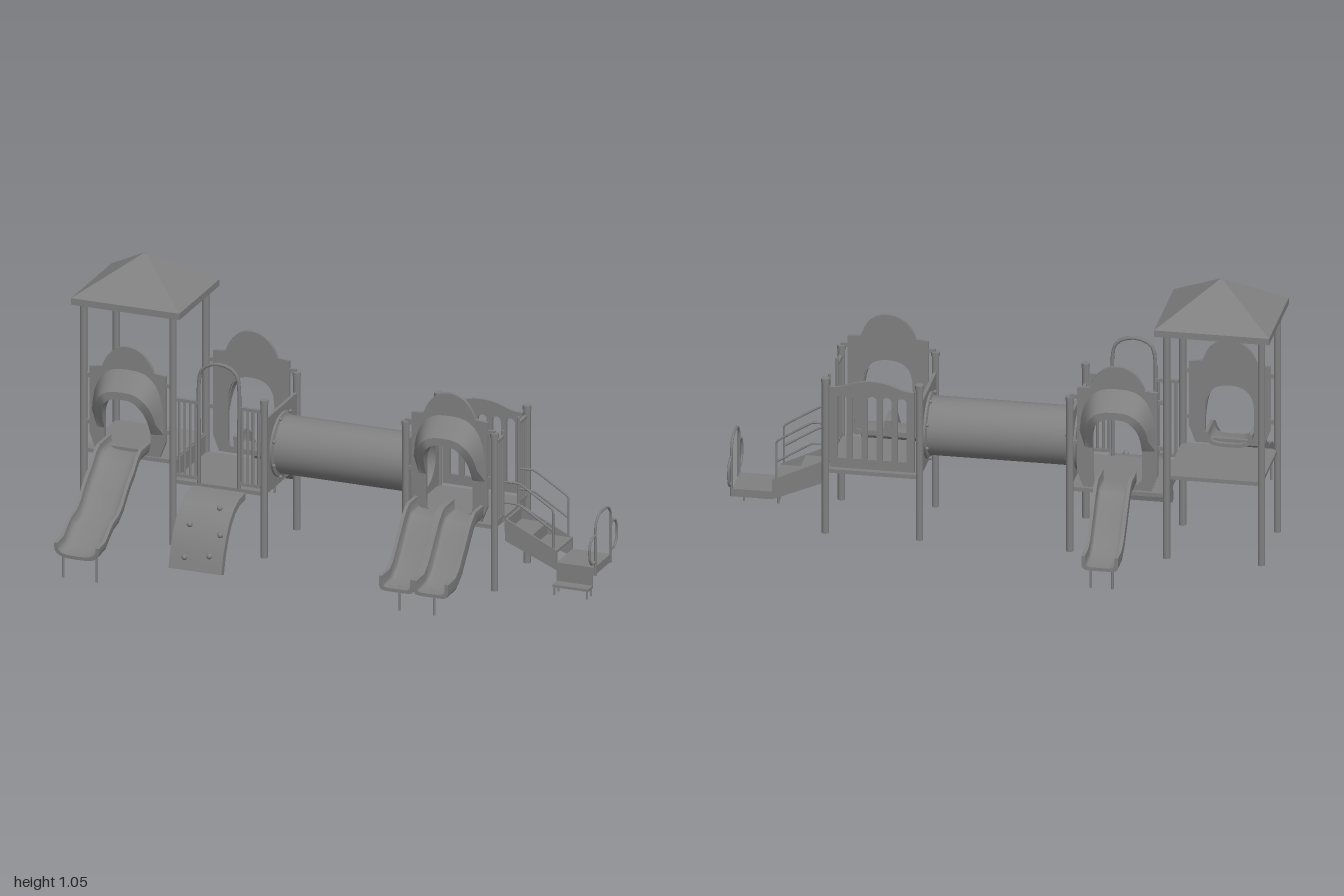
import * as THREE from 'three';
import { toCreasedNormals } from 'three/addons/utils/BufferGeometryUtils.js';

const grey = new THREE.MeshStandardMaterial({ color: 0x808080, side: THREE.DoubleSide });
grey.name = 'playground grey';
const V3 = (x, y, z) => new THREE.Vector3(x, y, z);
const ZF = 0.082, ZB = -0.229, ZM = -0.0735;   // front posts, back posts, deck middle

function add(parent, name, geo, x = 0, y = 0, z = 0) {
  const m = new THREE.Mesh(geo, grey);
  m.name = name;
  m.position.set(x, y, z);
  parent.add(m);
  return m;
}
function group(parent, name, x = 0, z = 0, turn = 0) {
  const g = new THREE.Group();
  g.name = name;
  g.position.set(x, 0, z);
  g.rotation.y = turn;
  parent.add(g);
  return g;
}
// Box given by its two extreme corners
function box(parent, name, x0, x1, y0, y1, z0, z1) {
  return add(parent, name, new THREE.BoxGeometry(x1 - x0, y1 - y0, z1 - z0),
    (x0 + x1) / 2, (y0 + y1) / 2, (z0 + z1) / 2);
}
function post(parent, name, x, z, y0, y1, r, sides = 12) {
  return add(parent, name, new THREE.CylinderGeometry(r, r, y1 - y0, sides), x, (y0 + y1) / 2, z);
}
function pipe(parent, name, pts, r = 0.005, tension = 0.5, closed = false) {
  const c = new THREE.CatmullRomCurve3(pts.map(p => V3(...p)), closed, 'catmullrom', tension);
  return add(parent, name, new THREE.TubeGeometry(c, 40, r, 6, closed));
}
function extrude(shape, depth) {
  return new THREE.ExtrudeGeometry(shape, { depth, bevelEnabled: false, curveSegments: 16 });
}
// Joins closed cross-sections; caps holds the triangles that close both ends
function loft(rings, caps = []) {
  const n = rings[0].length, idx = [], last = (rings.length - 1) * n;
  for (let i = 0; i < rings.length - 1; i++) for (let j = 0; j < n; j++) {
    const a = i * n + j, b = i * n + (j + 1) % n;
    idx.push(a, b, a + n, b, b + n, a + n);
  }
  for (const [a, b, c] of caps) idx.push(a, c, b, last + a, last + b, last + c);
  const geo = new THREE.BufferGeometry().setFromPoints(rings.flat());
  geo.setIndex(idx);
  return toCreasedNormals(geo, 0.55);
}
// Sweeps a section of [x, height] along a path of [z, y]
function sweep(section, path) {
  const dir = (a, b) => new THREE.Vector2(b[0] - a[0], b[1] - a[1]).normalize();
  const rings = path.map((p, i) => {
    const d0 = dir(path[Math.max(i - 1, 0)], path[Math.max(i, 1)]);
    const d1 = i < path.length - 1 ? dir(p, path[i + 1]) : d0;
    const d = d0.clone().add(d1).normalize(), k = 1 / d.dot(d1);
    return section.map(([x, s]) => V3(x, p[1] + d.x * s * k, p[0] - d.y * s * k));
  });
  return loft(rings, THREE.ShapeUtils.triangulateShape(section.map(s => new THREE.Vector2(...s)), []));
}
// U-shaped trough; a higher e gives a rounder bottom
function troughSection(w, h, e) {
  const arc = (rx, ry) => Array.from({ length: 15 }, (_, i) => {
    const a = i / 14 * Math.PI, c = Math.cos(a), s = Math.max(Math.sin(a), 0);
    return [-rx * Math.sign(c) * Math.abs(c) ** e, -ry * s ** e];
  });
  return [...arc(w, h), ...arc(w - 0.013, h - 0.013).reverse()];
}

// Domed wall with an opening and a projecting hood, facing local +z
function hoodPanel(parent, bottom) {
  const s = new THREE.Shape();
  s.moveTo(-0.125, bottom).lineTo(0.125, bottom).lineTo(0.148, bottom + 0.06).lineTo(0.148, 0.645);
  s.lineTo(0.1, 0.65).bezierCurveTo(0.085, 0.7, 0.05, 0.737, 0, 0.737);
  s.bezierCurveTo(-0.05, 0.737, -0.085, 0.7, -0.1, 0.65).lineTo(-0.148, 0.645).lineTo(-0.148, bottom + 0.06);
  const hole = new THREE.Path(), b = bottom + 0.02;
  hole.moveTo(-0.06, b).lineTo(0.06, b).quadraticCurveTo(0.09, b, 0.09, b + 0.03).lineTo(0.09, 0.46);
  hole.bezierCurveTo(0.09, 0.53, 0.06, 0.56, 0, 0.56).bezierCurveTo(-0.06, 0.56, -0.09, 0.53, -0.09, 0.46);
  hole.lineTo(-0.09, b + 0.03).quadraticCurveTo(-0.09, b, -0.06, b);
  s.holes.push(hole);
  add(parent, 'archPanel', extrude(s, 0.014), 0, 0, -0.004);
  const rings = [];
  for (let i = 0; i <= 20; i++) {
    const a = i / 20 * Math.PI, c = -Math.sign(Math.cos(a)) * Math.abs(Math.cos(a)) ** 0.7;
    const t = Math.max(Math.sin(a), 0) ** 0.7;
    const z = 0.01 + 0.064 * Math.min(1, t * 1.15);
    rings.push([V3(c * 0.142, 0.415 + 0.238 * t, 0.008), V3(c * 0.118, 0.415 + 0.17 * t, z),
      V3(c * 0.09, 0.415 + 0.142 * t, z), V3(c * 0.09, 0.415 + 0.142 * t, 0.008)]);
  }
  add(parent, 'hood', loft(rings));
  for (const x of [-0.16, 0.16]) for (const y of [0.42, 0.6]) box(parent, 'panelClamp', x - 0.014, x + 0.014, y, y + 0.015, -0.004, 0.006);
}
function slide(parent, path, x, w, e, legs) {
  add(parent, 'slide', sweep(troughSection(w, 0.056, e), path), x);
  const z = path.at(-1)[0] - 0.035;
  for (const lx of legs) post(parent, 'slideLeg', lx, z, 0, 0.095, 0.005, 8);
}
// Row of upright bars between two rails, from local x0 to x1
function railing(parent, x0, x1, y0, y1, count) {
  for (const y of [y0, y1]) box(parent, 'rail', x0, x1, y - 0.006, y + 0.006, -0.006, 0.006);
  for (let i = 0; i < count; i++) post(parent, 'railBar', x0 + (i + 0.5) / count * (x1 - x0), 0, y0, y1, 0.0055, 8);
}

export function createModel() {
  const root = new THREE.Group();
  root.name = 'playground';

  // Posts, decks and roof
  for (const z of [ZF, ZB]) {
    for (const x of [-0.965, -0.617]) post(root, 'towerPost', x, z, 0, 0.89, 0.0135);
    for (const x of [-0.262, 0.29, 0.635]) {
      post(root, 'post', x, z, 0, 0.6, 0.0135);
      post(root, 'postCap', x, z, 0.59, 0.606, 0.016);
    }
  }
  box(root, 'towerDeck', -0.965, -0.617, 0.308, 0.323, ZB, ZF);
  box(root, 'middleDeck', -0.617, -0.262, 0.235, 0.25, ZB, ZF);
  box(root, 'farDeck', 0.29, 0.635, 0.235, 0.25, ZB, ZF);
  box(root, 'deckRiser', -0.622, -0.612, 0.24, 0.318, ZB, ZF);
  box(root, 'roofRim', -1, -0.578, 0.88, 0.905, -0.268, 0.117);
  const roof = new THREE.CylinderGeometry(0.025, Math.SQRT1_2, 1, 4).rotateY(Math.PI / 4).scale(0.422, 0.136, 0.385);
  add(root, 'roof', toCreasedNormals(roof, 0.3), -0.789, 0.973, -0.0755);

  // Wavy tower slide
  const tower = group(root, 'towerSlide', -0.79, ZF);
  hoodPanel(tower, 0.33);
  slide(tower, [[-0.02, 0.38], [0.09, 0.38], [0.125, 0.362], [0.165, 0.322], [0.2, 0.298], [0.23, 0.272], [0.27, 0.23],
    [0.31, 0.205], [0.36, 0.195], [0.395, 0.175], [0.435, 0.148], [0.498, 0.142]], 0, 0.088, 0.6, [-0.065, 0.065]);

  // Straight slides: one at the back, a pair at the front
  const straight = [[-0.01, 0.325], [0.085, 0.325], [0.108, 0.315], [0.14, 0.287], [0.19, 0.225], [0.245, 0.16], [0.28, 0.138], [0.352, 0.136]];
  const back = group(root, 'backSlide', -0.438, ZB, Math.PI);
  hoodPanel(back, 0.26);
  slide(back, straight, 0, 0.0675, 0.3, [-0.04, 0.04]);
  const pair = group(root, 'doubleSlide', 0.463, ZF);
  hoodPanel(pair, 0.26);
  for (const s of [-1, 1]) slide(pair, straight, s * 0.067, 0.0675, 0.3, [s * 0.067]);

  // Crawl tube between walls with a round hole
  const tube = new THREE.LatheGeometry([[0.095, -0.29], [0.122, -0.29], [0.122, -0.262], [0.108, -0.258], [0.108, 0.258],
    [0.122, 0.262], [0.122, 0.29], [0.095, 0.29], [0.095, -0.29]].map(p => new THREE.Vector2(...p)), 28);
  add(root, 'crawlTube', toCreasedNormals(tube.rotateZ(Math.PI / 2), 0.5), 0.014, 0.385, ZM);
  const wall = new THREE.Shape();
  wall.moveTo(-0.145, 0.255).lineTo(0.145, 0.255).lineTo(0.145, 0.53).lineTo(-0.145, 0.53);
  wall.holes.push(new THREE.Path().absarc(0, 0.385, 0.096, 0, Math.PI * 2, true));
  for (const x of [-0.262, 0.29]) add(root, 'tubeWall', extrude(wall, 0.012).rotateY(Math.PI / 2), x - 0.006, 0, ZM);
  for (const x of [-0.243, 0.271]) for (let i = 0; i < 8; i++) {
    const a = (i + 0.5) / 8 * Math.PI * 2;
    add(root, 'tubeBolt', new THREE.SphereGeometry(0.007, 8, 6), x, 0.385 + 0.12 * Math.sin(a), ZM + 0.12 * Math.cos(a));
  }

  // Curved climber with hand holds, entry hoop and railings
  const climber = group(root, 'climber', -0.438, ZF);
  add(climber, 'climberRamp', sweep([[-0.103, 0], [-0.103, -0.026], [0.103, -0.026], [0.103, 0]],
    [[0, 0.238], [0.06, 0.232], [0.11, 0.212], [0.15, 0.177], [0.185, 0.125], [0.212, 0.065], [0.23, 0]]));
  for (const [x, y, z] of [[-0.045, 0.155, 0.17], [0.05, 0.212, 0.115], [0.08, 0.135, 0.183], [-0.045, 0.045, 0.218], [0.05, 0.06, 0.214]])
    add(climber, 'climbingHold', new THREE.SphereGeometry(0.011, 10, 8), x, y, z);
  pipe(climber, 'entryHoop', [[-0.078, 0.25, 0], [-0.078, 0.45, 0], [-0.078, 0.64, 0], [-0.058, 0.698, 0], [0, 0.718, 0],
    [0.058, 0.698, 0], [0.078, 0.64, 0], [0.078, 0.45, 0], [0.078, 0.25, 0]], 0.007);
  railing(climber, -0.165, -0.08, 0.27, 0.56, 4);
  railing(climber, 0.08, 0.165, 0.27, 0.56, 4);

  // Slotted wavy wall behind the far deck
  const fence = new THREE.Shape();
  fence.moveTo(-0.155, 0.262).lineTo(0.155, 0.262).lineTo(0.155, 0.575);
  fence.bezierCurveTo(0.1, 0.57, 0.08, 0.605, 0, 0.605).bezierCurveTo(-0.08, 0.605, -0.1, 0.57, -0.155, 0.575);
  for (let i = 0; i < 5; i++) {
    const x = (i - 2) * 0.055;
    fence.holes.push(new THREE.Path().moveTo(x - 0.017, 0.3).lineTo(x + 0.017, 0.3)
      .lineTo(x + 0.017, 0.53).absarc(x, 0.53, 0.017, 0, Math.PI, false).lineTo(x - 0.017, 0.3));
  }
  add(root, 'slottedWall', extrude(fence, 0.012), 0.463, 0, ZB - 0.006);

  // Railings beside the stair entry
  const entry = group(root, 'stairEntry', 0.635, ZM, Math.PI / 2);
  for (const s of [-1, 1]) {
    railing(entry, Math.min(s * 0.074, s * 0.148), Math.max(s * 0.074, s * 0.148), 0.262, 0.565, 4);
    post(entry, 'entryPole', s * 0.074, 0, 0.24, 0.588, 0.006, 8);
  }

  // Stairs with handrails
  const side = new THREE.Shape();
  side.moveTo(0.645, 0.165).lineTo(0.845, 0.08).lineTo(0.845, 0.155).lineTo(0.645, 0.25);
  for (const z of [0, -0.147]) {
    add(root, 'stairSide', extrude(side, 0.008), 0, 0, z - 0.004);
    pipe(root, 'handrail', [[0.64, 0.39, z], [0.7, 0.39, z], [0.82, 0.315, z], [0.83, 0.3, z], [0.83, 0.14, z]], 0.004, 0.15);
    pipe(root, 'lowerHandrail', [[0.64, 0.312, z], [0.7, 0.308, z], [0.83, 0.228, z]], 0.004, 0.15);
  }
  for (let i = 0; i < 2; i++) {
    const x = 0.645 + i * 0.1, y = 0.2 - i * 0.045;
    box(root, 'stairTread', x, x + 0.1, y - 0.01, y, -0.147, 0);
    box(root, 'stairRiser', x - 0.004, x + 0.004, y, y + 0.045, -0.147, 0);
  }

  // Low platform, side step and end handles
  box(root, 'transferPlatform', 0.845, 0.992, 0.08, 0.11, -0.15, 0.003);
  box(root, 'sideStep', 0.845, 0.985, 0.03, 0.04, 0, 0.045);
  box(root, 'stepRiser', 0.845, 0.985, 0.03, 0.082, -0.002, 0.003);
  for (const x of [0.852, 0.978]) for (const z of [0.003, 0.04]) post(root, 'stepLeg', x, z, 0, 0.035, 0.004, 8);
  pipe(root, 'endHoop', [[0.995, 0.08, 0], [0.995, 0.2, 0], [0.995, 0.27, -0.002], [0.995, 0.302, -0.03], [0.995, 0.308, ZM],
    [0.995, 0.302, -0.117], [0.995, 0.27, -0.145], [0.995, 0.2, -0.147], [0.995, 0.08, -0.147]]);
  for (const [z, s] of [[0, 1], [-0.147, -1]])
    pipe(root, 'sideHandle', [[0.995, 0.235, z], [0.995, 0.232, z + s * 0.035], [0.995, 0.205, z + s * 0.055],
      [0.995, 0.16, z + s * 0.055], [0.995, 0.135, z + s * 0.035], [0.995, 0.132, z]]);
  return root;
}
